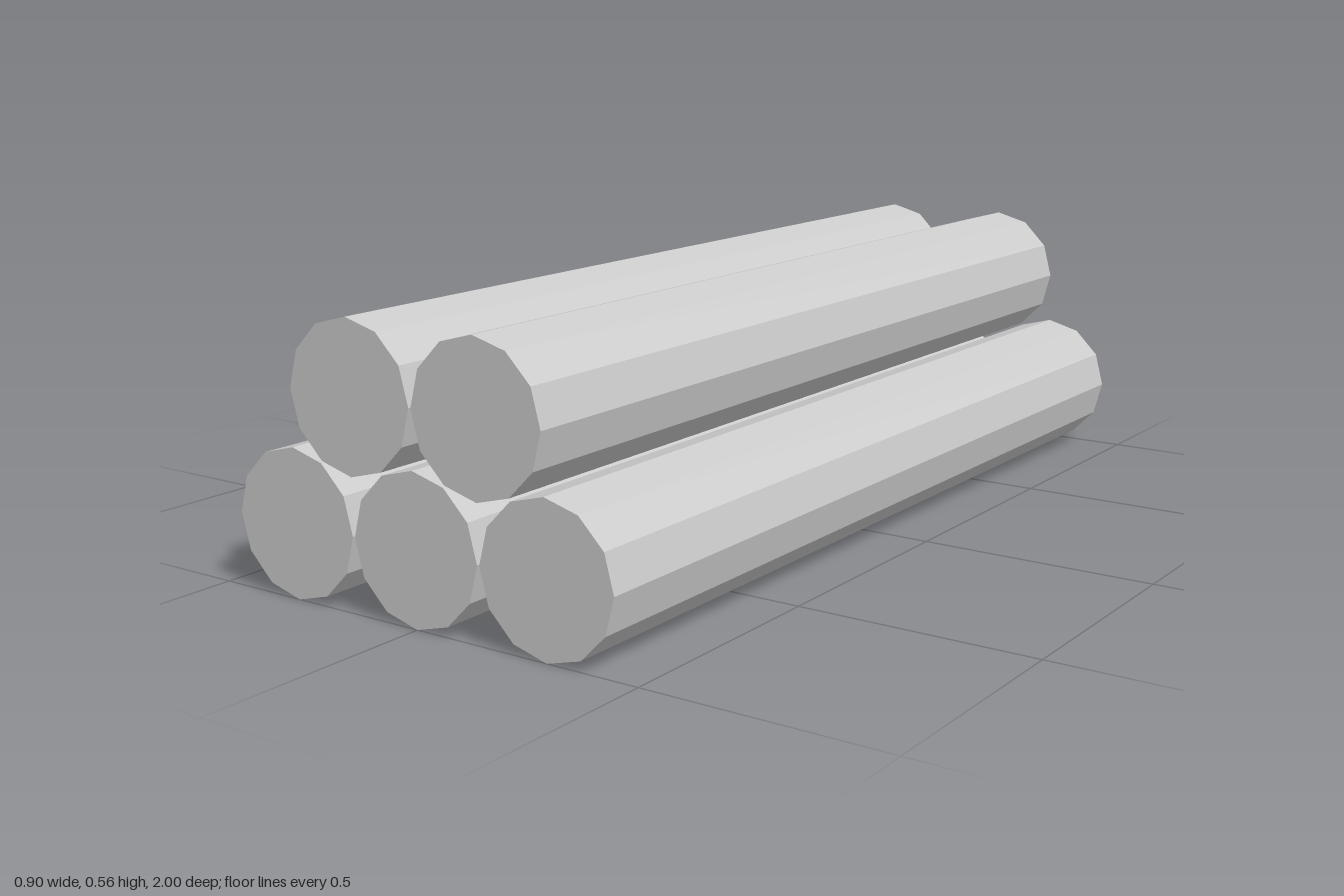
import * as THREE from 'three';

// A stack of five twelve-sided logs lying along z
export function createModel() {
  const group = new THREE.Group();
  group.name = 'logPile';

  const radius = 0.149, length = 2, spacing = 0.303, rowRise = 0.263;
  const material = new THREE.MeshStandardMaterial({ color: 0xcccccc, flatShading: true });
  const logGeometry = new THREE.CylinderGeometry(radius, radius, length, 12).rotateX(Math.PI / 2);

  // Rows from the ground up, the upper one resting in the gaps of the lower
  [3, 2].forEach((count, row) => {
    for (let i = 0; i < count; i++) {
      const log = new THREE.Mesh(logGeometry, material);
      log.name = `${row === 0 ? 'lower' : 'upper'}Log${i + 1}`;
      log.position.set((i - (count - 1) / 2) * spacing, radius + row * rowRise, 0);
      group.add(log);
    }
  });

  return group;
}
